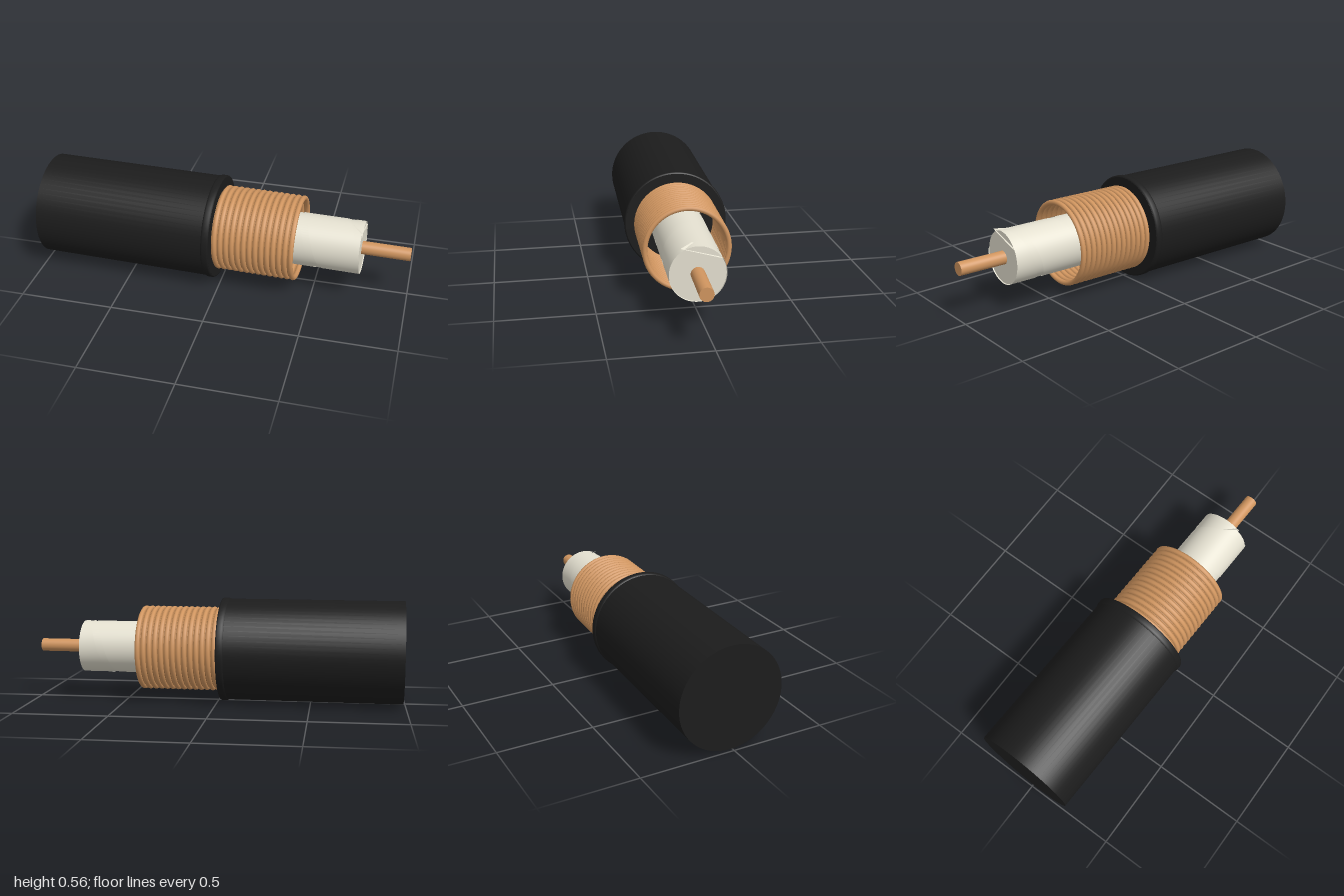
import * as THREE from 'three';

const mat = (color, side = THREE.FrontSide) => new THREE.MeshStandardMaterial({ color, side });

export function createModel() {
  const cable = new THREE.Group();
  cable.name = 'coaxialCable';
  const black = mat(0x1c1c1c);
  const copper = mat(0xd0955f);
  const copperSheet = mat(0xb8824f, THREE.DoubleSide);
  const cream = mat(0xe4e0d0);
  const foil = mat(0xe4e0d0, THREE.DoubleSide);

  const add = (name, geometry, material) => {
    const mesh = new THREE.Mesh(geometry, material);
    mesh.name = name;
    cable.add(mesh);
    return mesh;
  };
  // Cylinder lying along x from x0 to x1
  const rod = (name, r, x0, x1, material, open = false) => {
    const g = new THREE.CylinderGeometry(r, r, x1 - x0, 64, 1, open);
    g.rotateZ(-Math.PI / 2).translate((x0 + x1) / 2, 0, 0);
    return add(name, g, material);
  };

  // Outer jacket with a raised, softly rounded lip at its cut end
  rod('jacket', 0.273, -0.99, -0.022, black);
  const lip = new THREE.LatheGeometry(
    [[0.27, -0.062], [0.276, -0.058], [0.279, -0.05], [0.279, -0.028], [0.277, -0.022], [0.271, -0.02]]
      .map(([r, x]) => new THREE.Vector2(r, x)), 64);
  add('jacketLip', lip.rotateZ(-Math.PI / 2), black);
  rod('jacketEndFace', 0.272, -0.05, -0.02, black);

  // Copper shield: stacked wire rings on a thin open sleeve
  rod('shieldSleeve', 0.213, -0.02, 0.41, copperSheet, true);
  const rings = 14, pitch = 0.0315;
  for (let i = 0; i < rings; i++) {
    const g = new THREE.TorusGeometry(0.215, 0.0135, 10, 64);
    g.rotateY(Math.PI / 2).translate(-0.003 + i * pitch, 0, 0);
    add('shieldRing', g, copper);
  }

  // Insulating core and centre conductor
  rod('insulation', 0.138, -0.03, 0.745, cream);
  rod('conductor', 0.035, 0.7, 0.999, copper);

  // Foil tape wound round the insulation, trimmed at the end
  const pos = [], idx = [], steps = 220, endX = 0.75;
  const a0 = -Math.PI * 3, a1 = Math.PI * 4.2;
  for (let i = 0; i <= steps; i++) {
    const a = a0 + (a1 - a0) * i / steps;
    const lead = 0.47 + 0.28 * (a - Math.PI / 2) / (2 * Math.PI);
    for (const x of [lead - 0.24, lead]) {
      const cx = Math.min(Math.max(x, -0.02), endX);
      pos.push(cx, 0.1405 * Math.cos(a), 0.1405 * Math.sin(a));
    }
    if (i < steps) idx.push(2 * i, 2 * i + 1, 2 * i + 2, 2 * i + 1, 2 * i + 3, 2 * i + 2);
  }
  const tape = new THREE.BufferGeometry();
  tape.setAttribute('position', new THREE.Float32BufferAttribute(pos, 3));
  tape.setIndex(idx);
  tape.computeVertexNormals();
  add('foilTape', tape, foil);

  // Loose corner of the tape at the cut end
  const flap = new THREE.BufferGeometry();
  flap.setAttribute('position', new THREE.Float32BufferAttribute(
    [0.748, 0.13, 0.084, 0.752, 0.075, -0.118, 0.69, 0.141, 0.02], 3));
  flap.computeVertexNormals();
  add('foilFlap', flap, foil);

  // Cable rests on the ground, turned slightly
  cable.rotation.y = -0.033;
  cable.position.set(0, 0.279, 0.011);
  const model = new THREE.Group();
  model.add(cable);
  return model;
}
